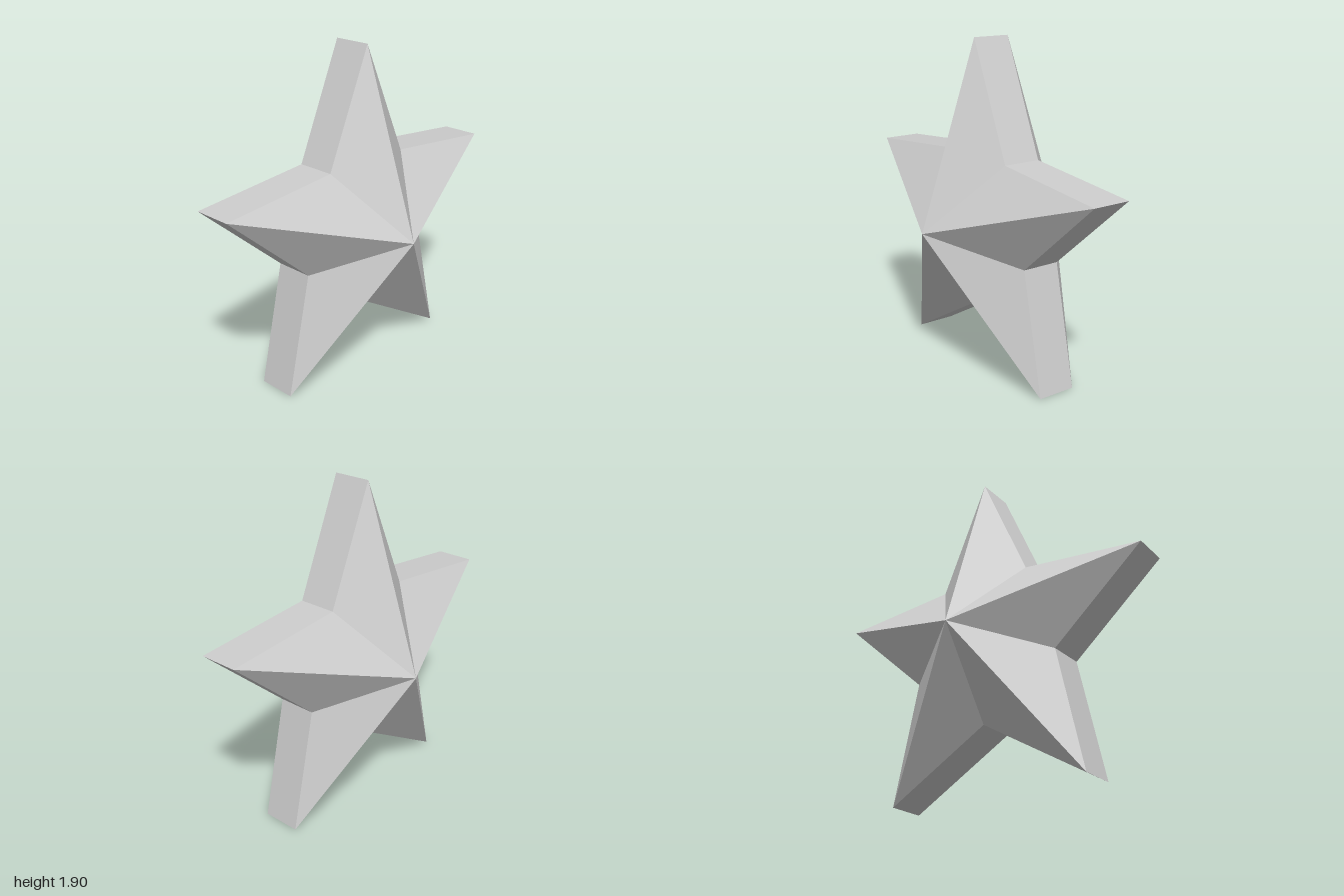
import * as THREE from 'three';

const OUTER = 1.0515, INNER = 0.486, HALF = 0.113, APEX = 0.468, CENTRE_Y = 0.8507;

export function createModel() {
  const star = new THREE.Group();
  star.name = 'star';
  const grey = new THREE.MeshStandardMaterial({ color: 0xcccccc });
  grey.name = 'light grey';

  // Star outline, counter-clockwise from the top tip
  const outline = Array.from({ length: 10 }, (_, i) => {
    const a = Math.PI / 2 + (i * Math.PI) / 5;
    const r = i % 2 ? INNER : OUTER;
    return [r * Math.cos(a), CENTRE_Y + r * Math.sin(a)];
  });

  // Makes one faceted mesh from the triangles given for each outline edge
  const addPart = (name, trianglesForEdge) => {
    const corners = outline.flatMap((p, i) => trianglesForEdge(p, outline[(i + 1) % 10]));
    const geometry = new THREE.BufferGeometry();
    geometry.setAttribute('position', new THREE.Float32BufferAttribute(corners.flat(), 3));
    geometry.computeVertexNormals();
    const mesh = new THREE.Mesh(geometry, grey);
    mesh.name = name;
    star.add(mesh);
  };

  // Raised facets meeting at the front and back points
  addPart('frontFacets', (p, q) => [[0, CENTRE_Y, APEX], [...p, HALF], [...q, HALF]]);
  addPart('backFacets', (p, q) => [[0, CENTRE_Y, -APEX], [...q, -HALF], [...p, -HALF]]);

  // Flat band around the rim
  addPart('rim', (p, q) => [
    [...p, HALF], [...p, -HALF], [...q, -HALF],
    [...p, HALF], [...q, -HALF], [...q, HALF],
  ]);

  return star;
}
